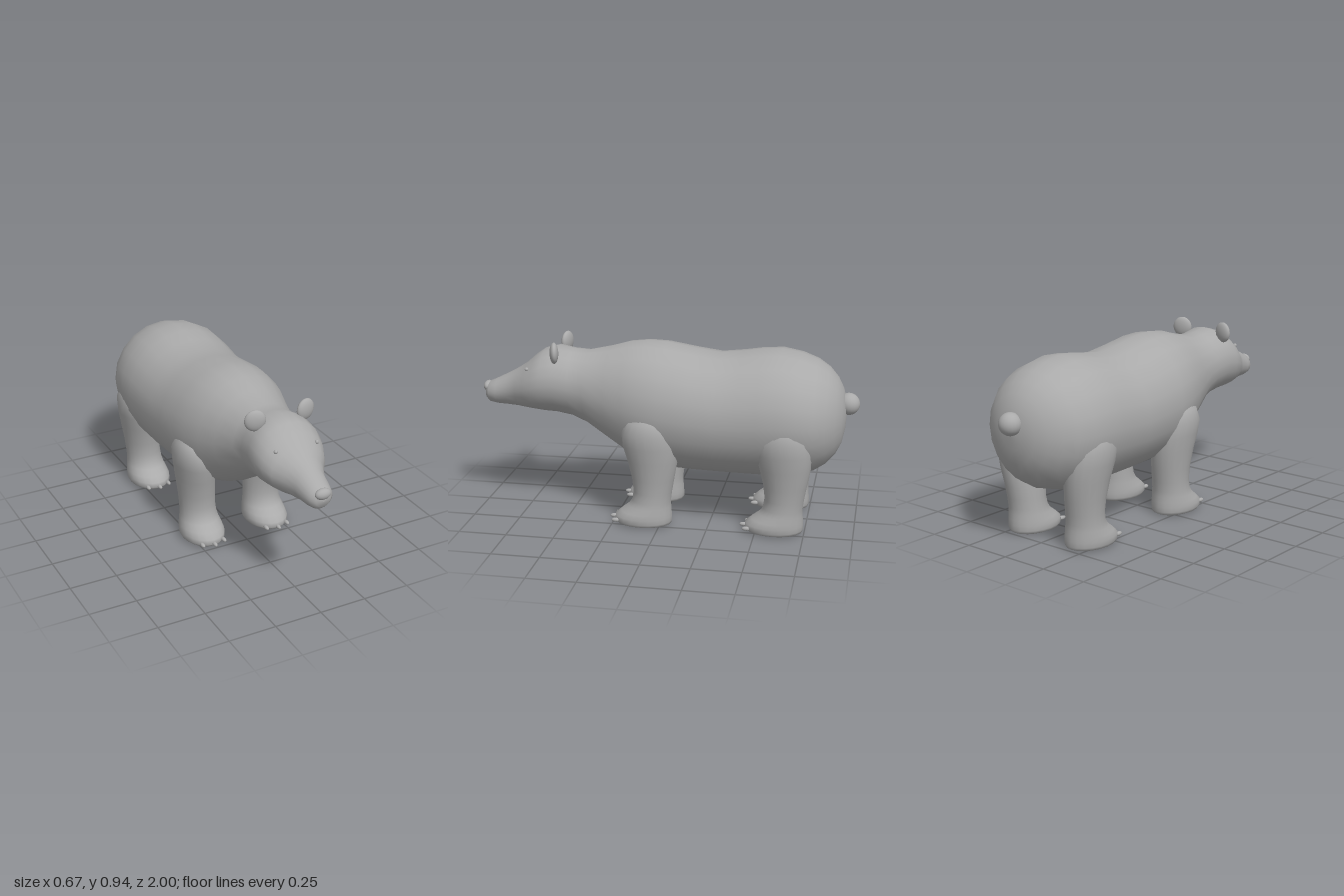
import * as THREE from 'three';

const SIDES = 20;

// Skin a list of rings (each SIDES points) with smooth sides and flat end caps.
function loft(rings) {
  const pos = [], index = [], n = SIDES;
  rings.forEach(ring => ring.forEach(p => pos.push(...p)));
  for (let i = 0; i < rings.length - 1; i++) {
    for (let j = 0; j < n; j++) {
      const a = i * n + j, b = i * n + (j + 1) % n, c = a + n, d = b + n;
      index.push(a, c, b, b, c, d);
    }
  }
  [rings[0], rings[rings.length - 1]].forEach((ring, end) => {
    const base = pos.length / 3;
    ring.forEach(p => pos.push(...p));
    for (let j = 1; j < n - 1; j++) {
      if (end) index.push(base, base + j + 1, base + j);
      else index.push(base, base + j, base + j + 1);
    }
  });
  const g = new THREE.BufferGeometry();
  g.setAttribute('position', new THREE.Float32BufferAttribute(pos, 3));
  g.setIndex(index);
  g.computeVertexNormals();
  return g;
}

// Points around an ellipse, starting at the widest point.
const around = fn => Array.from({ length: SIDES }, (_, j) => {
  const a = j / SIDES * Math.PI * 2;
  return fn(Math.cos(a), Math.sin(a));
});

// Torso, neck, head and muzzle: z, top y, bottom y, half width
const BODY = [
  [0.985, 0.622, 0.61, 0.008], [0.98, 0.655, 0.58, 0.04], [0.96, 0.676, 0.562, 0.062],
  [0.92, 0.694, 0.555, 0.074], [0.86, 0.724, 0.552, 0.083], [0.80, 0.757, 0.549, 0.11],
  [0.75, 0.79, 0.544, 0.148], [0.70, 0.835, 0.539, 0.172], [0.65, 0.87, 0.534, 0.185],
  [0.58, 0.888, 0.53, 0.185], [0.50, 0.873, 0.515, 0.176], [0.42, 0.868, 0.48, 0.182],
  [0.30, 0.895, 0.40, 0.222], [0.20, 0.924, 0.335, 0.262], [0.10, 0.935, 0.292, 0.292],
  [0, 0.93, 0.267, 0.307], [-0.15, 0.904, 0.26, 0.315], [-0.28, 0.886, 0.257, 0.32],
  [-0.40, 0.90, 0.255, 0.325], [-0.50, 0.916, 0.254, 0.331], [-0.60, 0.921, 0.256, 0.334],
  [-0.70, 0.902, 0.268, 0.322], [-0.78, 0.872, 0.292, 0.292], [-0.84, 0.832, 0.33, 0.245],
  [-0.885, 0.782, 0.38, 0.19], [-0.915, 0.725, 0.44, 0.13], [-0.93, 0.665, 0.515, 0.07],
  [-0.935, 0.60, 0.585, 0.008],
];

// Leg and paw: y, centre x, half width, front z, back z
const LEG = [
  [0.59, 0.222, 0.055, 0.12, -0.01], [0.56, 0.222, 0.085, 0.175, -0.06],
  [0.50, 0.22, 0.103, 0.2, -0.085], [0.43, 0.212, 0.104, 0.195, -0.093],
  [0.35, 0.203, 0.101, 0.172, -0.09], [0.25, 0.194, 0.097, 0.15, -0.072],
  [0.18, 0.191, 0.095, 0.142, -0.06], [0.13, 0.19, 0.097, 0.15, -0.054],
  [0.10, 0.19, 0.102, 0.17, -0.055], [0.07, 0.19, 0.11, 0.21, -0.058],
  [0.045, 0.19, 0.115, 0.24, -0.06], [0.02, 0.19, 0.114, 0.243, -0.06],
  [0.006, 0.19, 0.107, 0.232, -0.055], [0, 0.19, 0.093, 0.215, -0.042],
];

export function createModel() {
  const model = new THREE.Group();
  model.name = 'bear';
  const grey = new THREE.MeshStandardMaterial({ color: 0xaaaaaa });
  grey.name = 'grey';

  const add = (name, geometry, parent = model) => {
    const mesh = new THREE.Mesh(geometry, grey);
    mesh.name = name;
    parent.add(mesh);
    return mesh;
  };
  const ball = (name, at, size, parent) => {
    const mesh = add(name, new THREE.SphereGeometry(1, 20, 14), parent);
    mesh.position.set(...at);
    mesh.scale.set(...size);
    return mesh;
  };

  add('body', loft(BODY.map(([z, top, bottom, w]) =>
    around((c, s) => [c * w, (top + bottom) / 2 + s * (top - bottom) / 2, z]))));
  ball('nose', [0, 0.647, 0.975], [0.042, 0.028, 0.025]);
  ball('tail', [0, 0.645, -0.943], [0.058, 0.057, 0.057]);

  for (const side of [1, -1]) {
    const label = side > 0 ? 'left' : 'right';
    ball(label + 'Eye', [side * 0.112, 0.776, 0.727], [0.01, 0.01, 0.01]);
    ball(label + 'Ear', [side * 0.138, 0.876, 0.57], [0.054, 0.055, 0.023]).rotation.y = side * 0.25;

    // Hind legs repeat the front ones, with the thigh set further out
    for (const [name, z0, splay] of [['FrontLeg', 0, 0], ['HindLeg', -0.685, 0.014]]) {
      const leg = new THREE.Group();
      leg.name = label + name;
      leg.position.z = z0;
      model.add(leg);
      add('legAndPaw', loft(LEG.map(([y, x, w, front, back]) => around((c, s) => [
        side * (x + splay * Math.min(1, y / 0.45)) + c * w,
        y,
        (front + back) / 2 - s * (front - back) / 2,
      ]))), leg);
      [-0.062, 0, 0.062].forEach((dx, i) =>
        ball('claw' + (i + 1), [side * 0.19 + dx, 0.024, i === 1 ? 0.248 : 0.228], [0.011, 0.011, 0.022], leg));
    }
  }
  return model;
}
